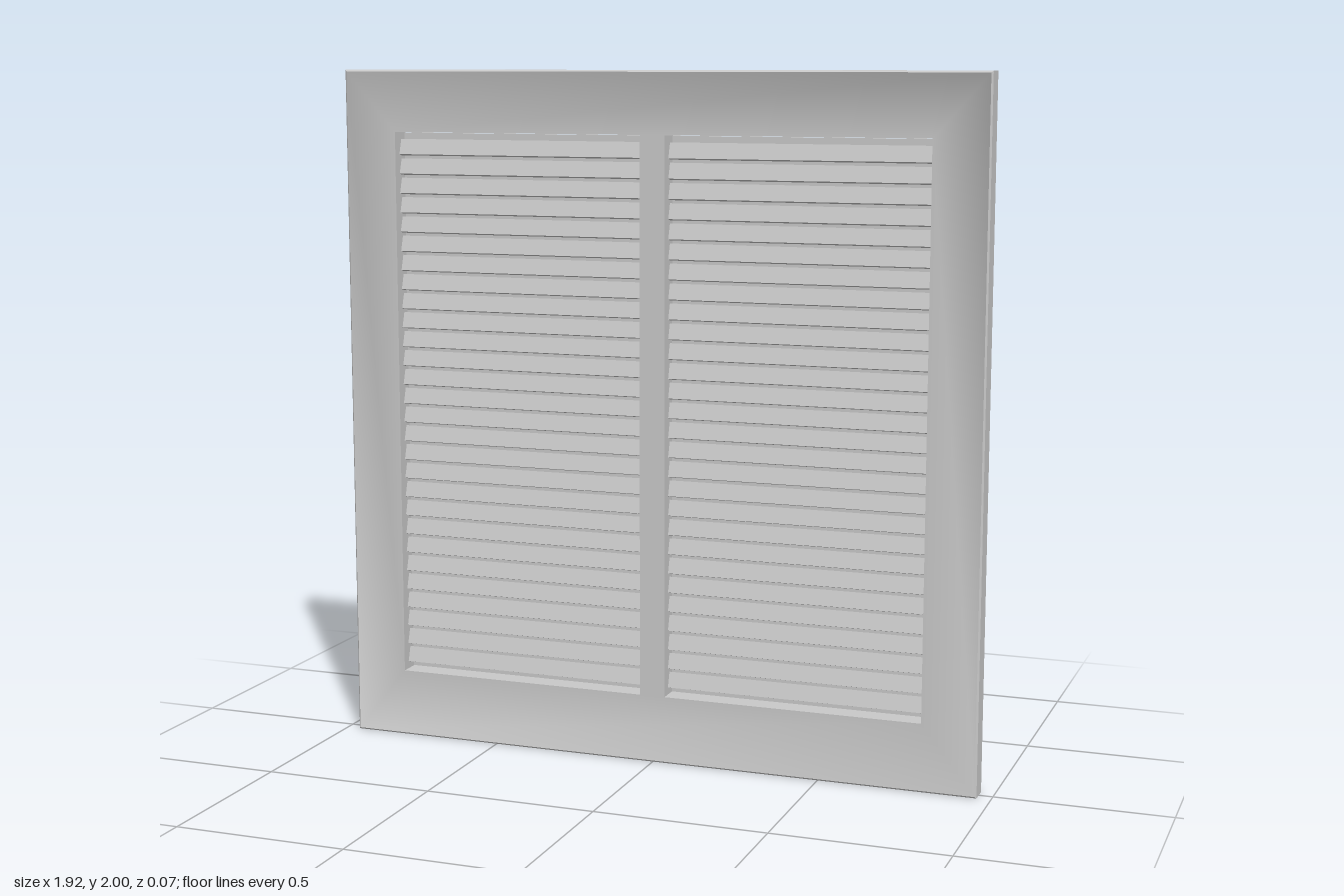
import * as THREE from 'three';

const W = 0.96, H = 2, D = 0.035;            // outer half width, height, half depth
const OPEN = { x: 0.8, y0: 0.2, y1: 1.82 };  // opening inside the frame
const MULLION = 0.038;                       // half width of the centre post

// Rectangular ring of four corners, counter-clockwise from the front
function ring(x, y0, y1, z) {
  return [[-x, y0, z], [x, y0, z], [x, y1, z], [-x, y1, z]];
}

// Four mitred quads between two rings; tilts give soft normals leaning to the centre
function band(a, b, soft) {
  const pos = [], nor = [];
  for (let i = 0; i < 4; i++) {
    const j = (i + 1) % 4;
    for (const [r, k] of [[a, i], [a, j], [b, j], [a, i], [b, j], [b, i]]) {
      pos.push(...r[k]);
      if (soft) {
        const tilt = r === a ? soft.a : soft.b;
        const n = new THREE.Vector3(
          -Math.sign(r[k][0]) * tilt, -Math.sign(r[k][1] - H / 2) * tilt, soft.side
        ).normalize();
        nor.push(n.x, n.y, n.z);
      }
    }
  }
  const g = new THREE.BufferGeometry();
  g.setAttribute('position', new THREE.Float32BufferAttribute(pos, 3));
  if (soft) g.setAttribute('normal', new THREE.Float32BufferAttribute(nor, 3));
  else g.computeVertexNormals();
  return g;
}

export function createModel() {
  const group = new THREE.Group();
  const paint = new THREE.MeshStandardMaterial({ color: 0xc8c8c8 });
  paint.name = 'greyPaint';

  const add = (name, geometry, x = 0, y = 0, z = 0, parent = group) => {
    const mesh = new THREE.Mesh(geometry, paint);
    mesh.name = name;
    mesh.position.set(x, y, z);
    parent.add(mesh);
    return mesh;
  };

  // Mitred surround with a thin chamfer around its outer edge
  const c = 0.005;
  const inner = z => ring(OPEN.x, OPEN.y0, OPEN.y1, z);
  const face = z => ring(W - c, c, H - c, z);
  const edge = z => ring(W, 0, H, z);
  const frame = new THREE.Group();
  frame.name = 'frame';
  group.add(frame);
  const TILT = 0.3;
  const bands = [
    ['frameBack', inner(-D), face(-D), { a: 0, b: TILT, side: -1 }],
    ['backChamfer', face(-D), edge(-D + c)],
    ['outerEdge', edge(-D + c), edge(D - c)],
    ['frontChamfer', edge(D - c), face(D)],
    ['frameFront', face(D), inner(D), { a: TILT, b: 0, side: 1 }],
    ['innerEdge', inner(D), inner(-D)],
  ];
  for (const [name, a, b, soft] of bands) add(name, band(a, b, soft), 0, 0, 0, frame);

  // Centre post
  const openH = OPEN.y1 - OPEN.y0, midY = (OPEN.y0 + OPEN.y1) / 2;
  add('mullion', new THREE.BoxGeometry(MULLION * 2, openH, D * 2), 0, midY, 0);

  // Two louvred bays, each with a backing panel
  const bayW = OPEN.x - MULLION, bayX = (OPEN.x + MULLION) / 2;
  const count = 28, pitch = 0.0567;
  const panelGeo = new THREE.BoxGeometry(bayW - 0.006, openH - 0.006, 0.012);
  const slatGeo = new THREE.BoxGeometry(bayW - 0.008, 0.046, 0.014);
  for (const side of [-1, 1]) {
    const bay = new THREE.Group();
    bay.name = side > 0 ? 'leftBay' : 'rightBay';
    bay.position.x = side * bayX;
    group.add(bay);
    add('backPanel', panelGeo, 0, midY, -D + 0.009, bay);
    for (let i = 0; i < count; i++) {
      const slat = add('slat', slatGeo, 0, midY + (i - (count - 1) / 2) * pitch, 0.003, bay);
      slat.rotation.x = -0.3; // lower edge leans forward
    }
  }
  return group;
}
